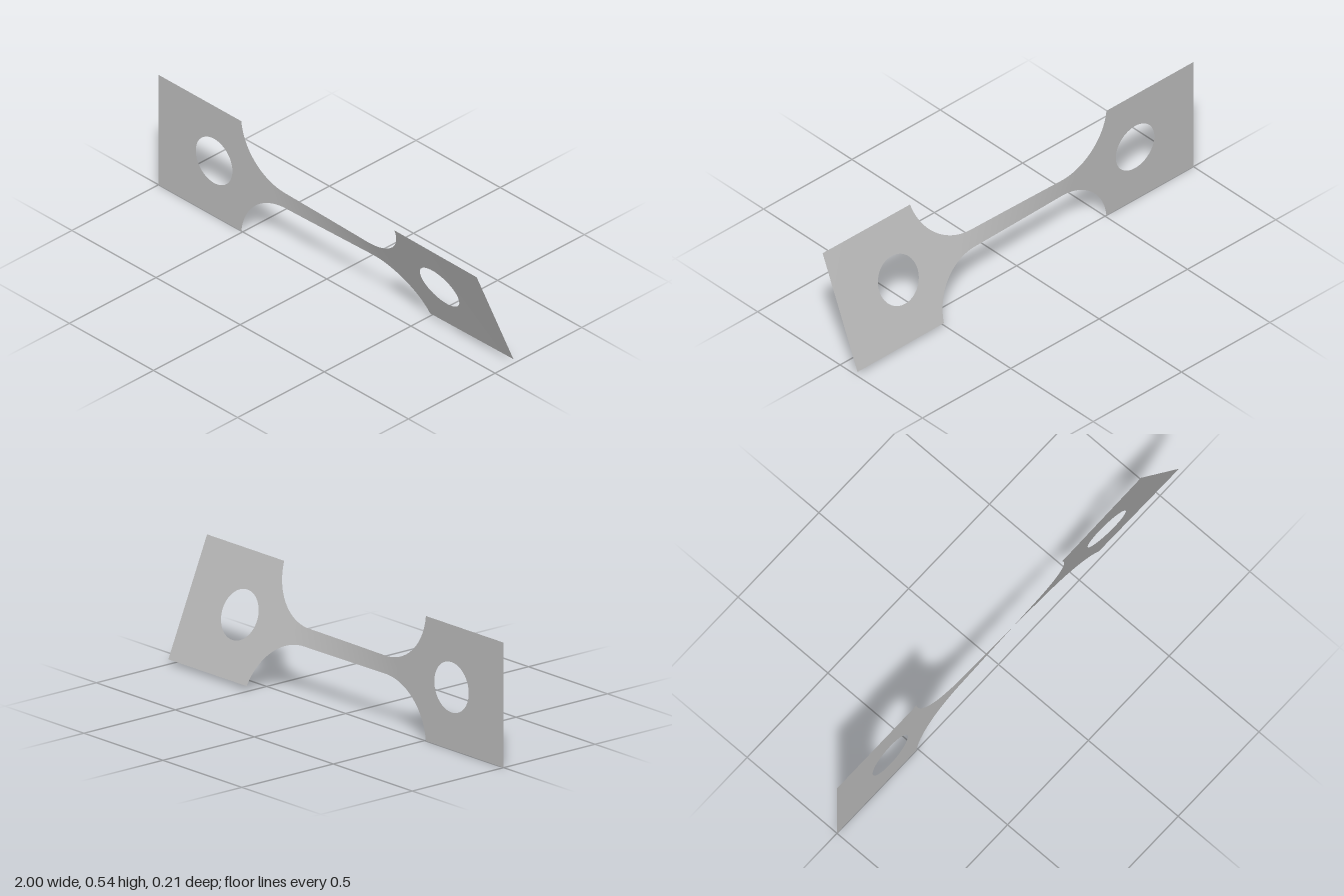
import * as THREE from 'three';

const MID = 0.271;      // height of the twist axis, also half the grip height
const GAUGE = 0.0385;   // half height of the narrow middle
const CORNER = 0.508;   // inner edge of the grips
const R = 0.26;         // fillet radius
const FILLET_Y = GAUGE + R;
const FILLET_X = CORNER - Math.sqrt(R * R - (FILLET_Y - MID) ** 2);
const DEG = Math.PI / 180;

// Twist angle and its rate along the length
function twistAt(x) {
  if (x < -0.32) return [0, 0];
  if (x < 0.32) return [(x + 0.32) / 0.64 * 22 * DEG, 22 * DEG / 0.64];
  return [(22 + (x - 0.32) / 0.68) * DEG, DEG / 0.68];
}

// Turn a flat sheet about the x axis, with exact smooth normals
function twist(geometry) {
  const p = geometry.attributes.position;
  const n = geometry.attributes.normal;
  const v = new THREE.Vector3();
  for (let i = 0; i < p.count; i++) {
    const x = p.getX(i), y = p.getY(i);
    const [a, rate] = twistAt(x);
    p.setXYZ(i, x, MID + y * Math.cos(a), y * Math.sin(a));
    v.set(-y * rate, -Math.sin(a), Math.cos(a)).normalize();
    n.setXYZ(i, v.x, v.y, v.z);
  }
  return geometry;
}

// Square grip plate with a round hole
function gripGeometry(side) {
  const a = Math.min(side, side * CORNER), b = Math.max(side, side * CORNER);
  const shape = new THREE.Shape([
    new THREE.Vector2(a, -MID), new THREE.Vector2(b, -MID),
    new THREE.Vector2(b, MID), new THREE.Vector2(a, MID),
  ]);
  const hole = new THREE.Path();
  hole.absarc(side * 0.67, 0, 0.109, 0, Math.PI * 2, true);
  shape.holes.push(hole);
  return twist(new THREE.ShapeGeometry(shape, 32));
}

// Narrow middle that flares into both grips through round fillets
function neckGeometry() {
  const half = [];
  const end = Math.asin((CORNER - FILLET_X) / R);
  for (let i = 0; i <= 24; i++) {
    const t = end * i / 24;
    half.push([FILLET_X + R * Math.sin(t), FILLET_Y - R * Math.cos(t)]);
  }
  const columns = half.map(([x, h]) => [-x, h]).reverse();
  for (let i = 1; i < 24; i++) columns.push([FILLET_X * (i / 12 - 1), GAUGE]);
  columns.push(...half);

  const rows = 8;
  const geometry = new THREE.PlaneGeometry(1, 1, columns.length - 1, rows);
  const p = geometry.attributes.position;
  for (let i = 0; i < p.count; i++) {
    const [x, h] = columns[i % columns.length];
    p.setXYZ(i, x, p.getY(i) * 2 * h, 0);
  }
  return twist(geometry);
}

export function createModel() {
  const group = new THREE.Group();
  group.name = 'twistedTestStrip';
  const metal = new THREE.MeshStandardMaterial({ color: 0xb8b8b8, side: THREE.DoubleSide });
  metal.name = 'light grey metal';

  const add = (name, geometry) => {
    const mesh = new THREE.Mesh(geometry, metal);
    mesh.name = name;
    group.add(mesh);
  };
  add('flatGrip', gripGeometry(-1));
  add('twistedGrip', gripGeometry(1));
  add('neck', neckGeometry());
  return group;
}
